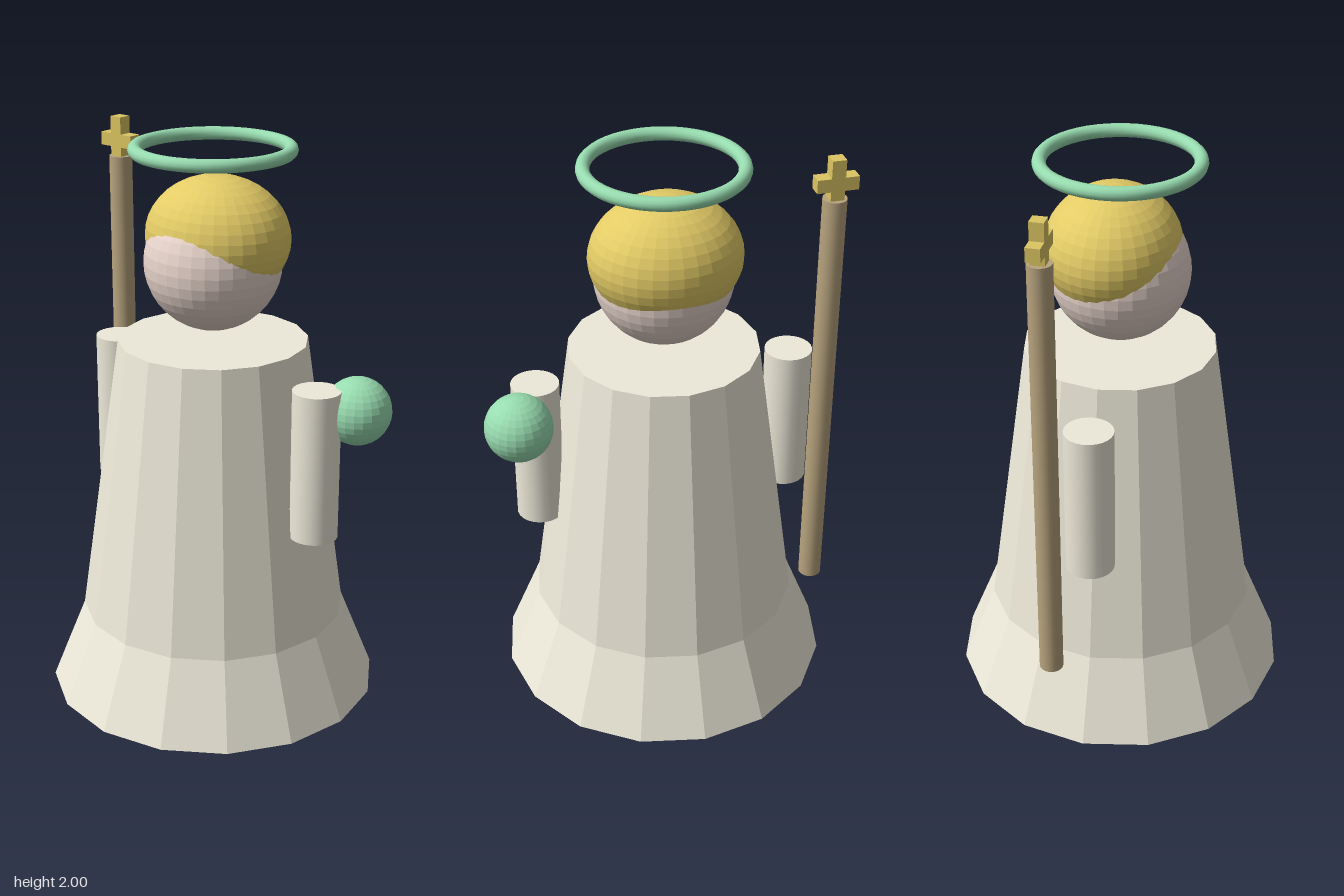
import * as THREE from 'three';

const CX = -0.02; // body axis

const material = (color, flatShading = false) =>
  new THREE.MeshStandardMaterial({ color, flatShading });

const mats = {
  robe: material(0xeeeada, true),
  limb: material(0xeeeada),
  skin: material(0xe8d5cc, true),
  hair: material(0xe3cb66, true),
  green: material(0x98dcb0, true),
  halo: material(0x98dcb0),
  wood: material(0xb8a47e),
  gold: material(0xdcc562, true),
};

export function createModel() {
  const model = new THREE.Group();
  model.name = 'angelFigure';

  const add = (name, geometry, mat, x, y, z = 0) => {
    const mesh = new THREE.Mesh(geometry, mat);
    mesh.name = name;
    mesh.position.set(x, y, z);
    model.add(mesh);
    return mesh;
  };
  // upright cylinder between two heights
  const post = (name, r, y0, y1, mat, x, z = 0) =>
    add(name, new THREE.CylinderGeometry(r, r, y1 - y0, 24), mat, x, (y0 + y1) / 2, z);

  // Faceted robe with a flared hem, closed at both ends
  const profile = [[0, 0.117], [0.563, 0.117], [0.45, 0.398], [0.3135, 1.353], [0, 1.353]]
    .map(([r, y]) => new THREE.Vector2(r, y));
  add('robe', new THREE.LatheGeometry(profile, 16), mats.robe, CX, 0);

  // Feet and arms, mirrored about the body axis
  for (const [side, s] of [['right', -1], ['left', 1]]) {
    post(side + 'Foot', 0.09, 0, 0.16, mats.limb, CX + s * 0.136);
    post(side + 'Arm', 0.079, 0.769, 1.273, mats.limb, CX + s * 0.428);
  }

  // Head, with a flattened hair cap overlapping its top and back
  add('head', new THREE.SphereGeometry(0.225, 32, 20), mats.skin, CX, 1.615);
  add('hair', new THREE.SphereGeometry(1, 32, 20), mats.hair, CX, 1.69, -0.023)
    .scale.set(0.247, 0.2, 0.22);

  // Halo
  add('halo', new THREE.TorusGeometry(0.247, 0.022, 12, 48).rotateX(Math.PI / 2),
    mats.halo, CX, 1.977);

  // Orb by the left arm
  add('orb', new THREE.SphereGeometry(0.111, 24, 16), mats.green, 0.485, 1.19, -0.115);

  // Staff topped by a small cross
  post('staff', 0.039, 0.398, 1.867, mats.wood, -0.531, -0.115);
  add('crossUpright', new THREE.BoxGeometry(0.045, 0.16, 0.045), mats.gold, -0.531, 1.92, -0.115);
  add('crossBar', new THREE.BoxGeometry(0.135, 0.044, 0.0452), mats.gold, -0.531, 1.92, -0.115);

  return model;
}
